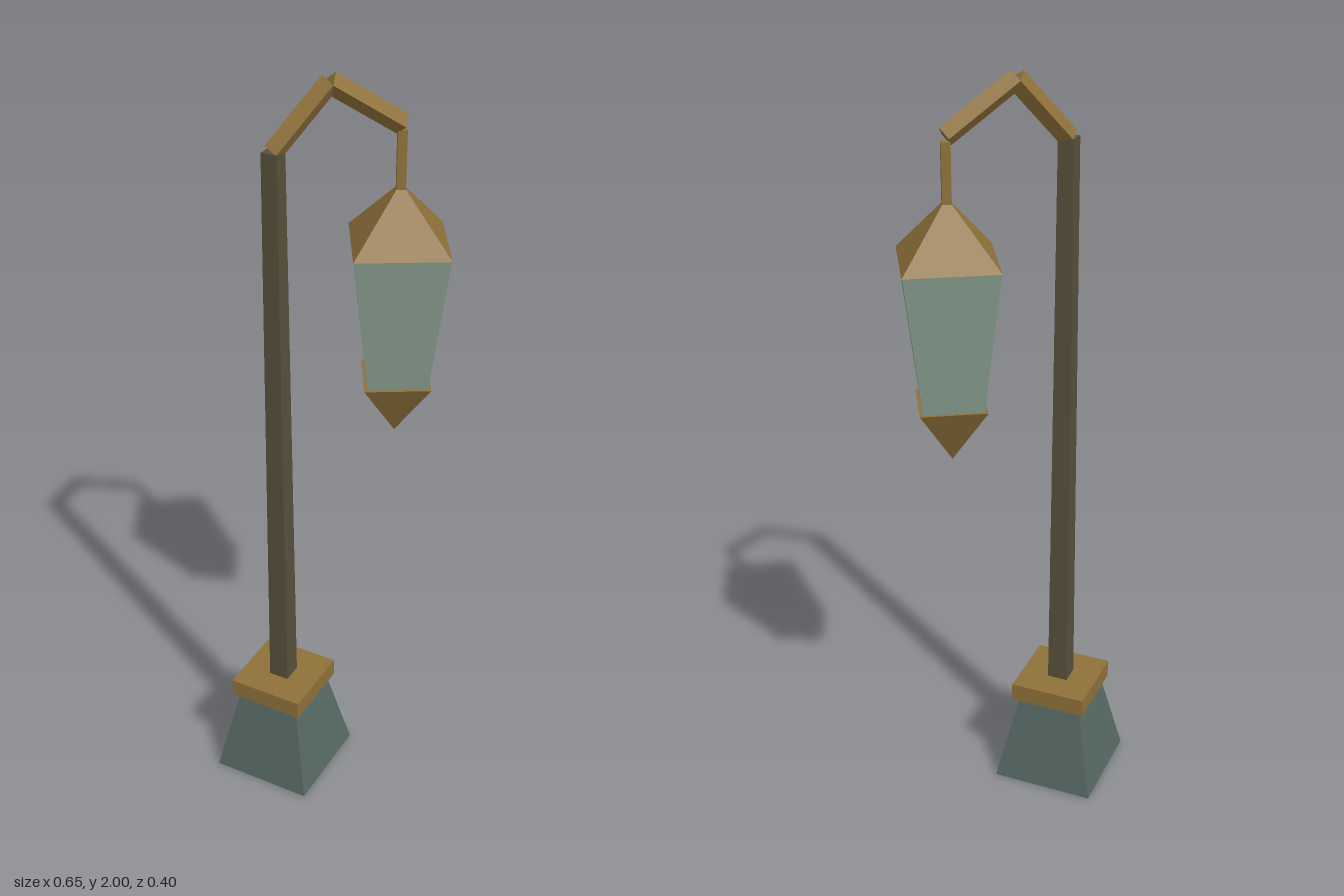
import * as THREE from 'three';

const material = (color) => new THREE.MeshStandardMaterial({ color, flatShading: true });

export function createModel() {
  const lamp = new THREE.Group();
  lamp.name = 'streetLamp';

  const bronze = material(0x8f713a);
  const iron = material(0x566863);
  const poleMetal = material(0x57503a);
  const glass = material(0x84998a);

  // Four-sided tapered block between two heights, corners on the x and z axes
  const taper = (parent, name, mat, y0, y1, r0, r1) => {
    const mesh = new THREE.Mesh(new THREE.CylinderGeometry(r1, r0, y1 - y0, 4), mat);
    mesh.position.y = (y0 + y1) / 2;
    mesh.name = name;
    parent.add(mesh);
    return mesh;
  };

  // Base and pole
  const post = new THREE.Group();
  post.name = 'post';
  post.position.x = -0.127;
  taper(post, 'base', iron, 0, 0.25, 0.198, 0.125);
  taper(post, 'baseCap', bronze, 0.25, 0.3, 0.148, 0.148);
  taper(post, 'pole', poleMetal, 0.3, 1.83, 0.039, 0.029);
  lamp.add(post);

  // Bent arm: two square bars with a ridge on top
  const joints = [[-0.127, 1.828], [0.007, 1.977], [0.182, 1.862]]
    .map(([x, y]) => new THREE.Vector3(x, y, 0));
  ['armRising', 'armFalling'].forEach((name, i) => {
    const a = joints[i], b = joints[i + 1];
    const bar = new THREE.Mesh(new THREE.CylinderGeometry(0.026, 0.026, a.distanceTo(b), 4), bronze);
    bar.position.copy(a).lerp(b, 0.5);
    bar.rotation.z = Math.atan2(b.y - a.y, b.x - a.x) - Math.PI / 2;
    bar.name = name;
    lamp.add(bar);
  });

  // Hanging lantern, turned a little around its axis
  const lantern = new THREE.Group();
  lantern.name = 'lantern';
  lantern.position.x = 0.182;
  lantern.rotation.y = Math.PI / 6;
  taper(lantern, 'hanger', bronze, 1.69, 1.85, 0.016, 0.016);
  taper(lantern, 'roof', bronze, 1.567, 1.72, 0.165, 0);
  taper(lantern, 'glass', glass, 1.19, 1.567, 0.105, 0.163);
  taper(lantern, 'finial', bronze, 1.04, 1.2, 0, 0.118);
  lamp.add(lantern);

  return lamp;
}
